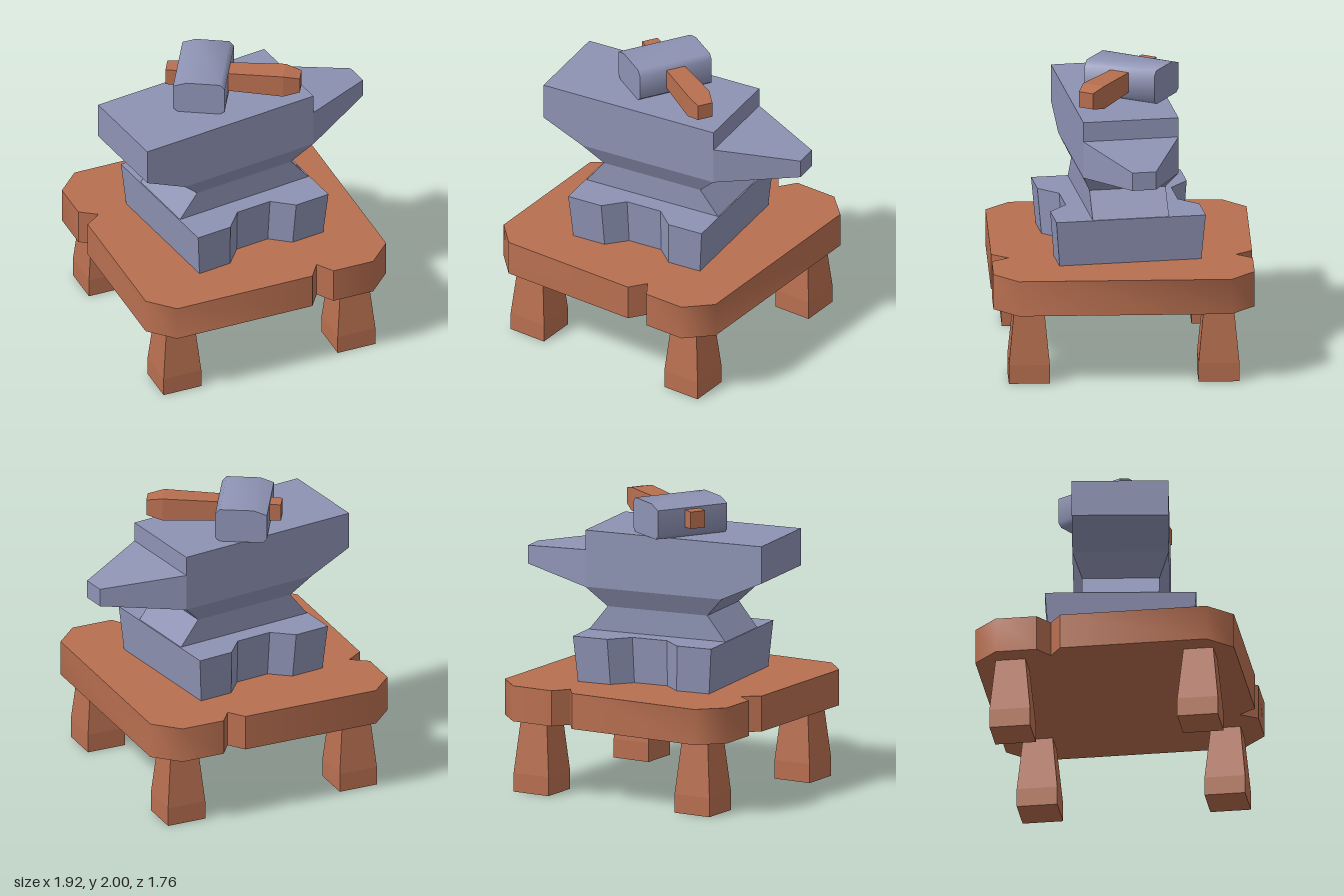
import * as THREE from 'three';
import { toCreasedNormals } from 'three/addons/utils/BufferGeometryUtils.js';

const wood = new THREE.MeshStandardMaterial({ color: 0xb86f50 });
wood.name = 'wood';
const steel = new THREE.MeshStandardMaterial({ color: 0x8e93b4 });
steel.name = 'steel';

// Flat-sided solid through rectangles [y, x0, x1, z0, z1], listed upwards
function loft(sections) {
  const rings = sections.map(([y, x0, x1, z0, z1]) =>
    [[x0, y, z1], [x1, y, z1], [x1, y, z0], [x0, y, z0]]);
  const pos = [];
  const quad = (a, b, c, d) => pos.push(...a, ...b, ...c, ...a, ...c, ...d);
  for (let r = 0; r + 1 < rings.length; r++) {
    for (let i = 0; i < 4; i++) {
      const j = (i + 1) % 4;
      quad(rings[r][i], rings[r][j], rings[r + 1][j], rings[r + 1][i]);
    }
  }
  const [a, b, c, d] = rings[0];
  quad(d, c, b, a);
  quad(...rings[rings.length - 1]);
  const geo = new THREE.BufferGeometry();
  geo.setAttribute('position', new THREE.Float32BufferAttribute(pos, 3));
  geo.computeVertexNormals();
  return geo;
}

// The same solid lying along x: sections are [x, halfHeight, halfWidth]
const loftX = (sections) =>
  loft(sections.map(([x, h, w]) => [x, -h, h, -w, w])).rotateZ(-Math.PI / 2);

// Upright slab from an outline of [x, z] points
function slab(points, height) {
  const shape = new THREE.Shape(points.map(([x, z]) => new THREE.Vector2(x, -z)));
  return new THREE.ExtrudeGeometry(shape, { depth: height, bevelEnabled: false }).rotateX(-Math.PI / 2);
}

function add(parent, name, geo, mat, x = 0, y = 0, z = 0) {
  const mesh = new THREE.Mesh(geo, mat);
  mesh.name = name;
  mesh.position.set(x, y, z);
  parent.add(mesh);
  return mesh;
}

function makeTable() {
  const table = new THREE.Group();
  table.name = 'table';
  // Chamfered top with three V-shaped nicks
  const outline = [
    [-0.8, -0.88], [0.17, -0.88], [0.25, -0.77], [0.33, -0.88], [0.635, -0.88],
    [0.8, -0.72], [0.8, 0.715], [0.635, 0.88], [0.345, 0.88], [0.27, 0.765],
    [0.19, 0.88], [-0.8, 0.88], [-0.96, 0.715], [-0.96, -0.28], [-0.845, -0.36],
    [-0.96, -0.44], [-0.96, -0.72],
  ];
  add(table, 'tableTop', toCreasedNormals(slab(outline, 0.245), 0.9), wood, 0, 0.51, 0);

  const leg = loft([
    [0, -0.138, 0.138, -0.138, 0.138],
    [0.13, -0.138, 0.138, -0.138, 0.138],
    [0.515, -0.101, 0.101, -0.101, 0.101],
  ]);
  for (const x of [-0.718, 0.557]) {
    for (const z of [-0.638, 0.64]) add(table, 'leg', leg, wood, x, 0, z);
  }
  return table;
}

function makeAnvil() {
  const anvil = new THREE.Group();
  anvil.name = 'anvil';
  anvil.position.set(-0.2275, 0, 0.03);
  anvil.rotation.y = THREE.MathUtils.degToRad(7.5);

  // Foot with a recess on both long sides, narrower at the bottom
  const half = [[0.51, 0.51], [0.258, 0.51], [0.128, 0.383], [-0.128, 0.383], [-0.258, 0.51], [-0.51, 0.51]];
  const foot = slab([...half, ...half.map(([x, z]) => [-x, -z])], 0.315);
  const p = foot.attributes.position;
  for (let i = 0; i < p.count; i++) {
    if (p.getY(i) < 0.1) p.setXYZ(i, p.getX(i) * 0.95, p.getY(i), p.getZ(i) * 0.95);
  }
  add(anvil, 'foot', toCreasedNormals(foot, 0.6), steel, 0.148, 0.755, 0);

  // Waist and body with an overhanging heel
  add(anvil, 'body', loft([
    [1.07, -0.355, 0.65, -0.26, 0.26],
    [1.24, -0.222, 0.514, -0.26, 0.26],
    [1.375, -0.355, 0.65, -0.325, 0.325],
    [1.51, -0.65, 0.65, -0.325, 0.325],
    [1.765, -0.65, 0.65, -0.325, 0.325],
  ]), steel);

  add(anvil, 'horn', loftX([[0.64, 0.128, 0.325], [0.65, 0.128, 0.325], [1.183, 0.063, 0.081]]),
    steel, 0, 1.502, 0);
  return anvil;
}

function makeHammer() {
  const hammer = new THREE.Group();
  hammer.name = 'hammer';
  hammer.position.set(-0.195, 0, -0.083);
  hammer.rotation.y = -Math.PI / 6;

  // Head with unevenly chamfered edges
  const section = [
    [-0.145, 1.765], [0.145, 1.765], [0.175, 1.79], [0.175, 1.965],
    [0.145, 2], [-0.085, 2], [-0.175, 1.968], [-0.175, 1.79],
  ].map(([x, y]) => new THREE.Vector2(x, y));
  const head = new THREE.ExtrudeGeometry(new THREE.Shape(section), { depth: 0.53, bevelEnabled: false });
  add(hammer, 'hammerHead', toCreasedNormals(head, 0.9), steel, 0, 0, -0.265);

  // Handle thickens towards the grip and tapers at its end
  add(hammer, 'hammerHandle', loftX([[-0.252, 0.058, 0.056], [0.548, 0.08, 0.079], [0.659, 0.055, 0.053]]),
    wood, 0, 1.895, 0);
  return hammer;
}

export function createModel() {
  const model = new THREE.Group();
  model.name = 'anvilOnTable';
  model.add(makeTable(), makeAnvil(), makeHammer());
  return model;
}
